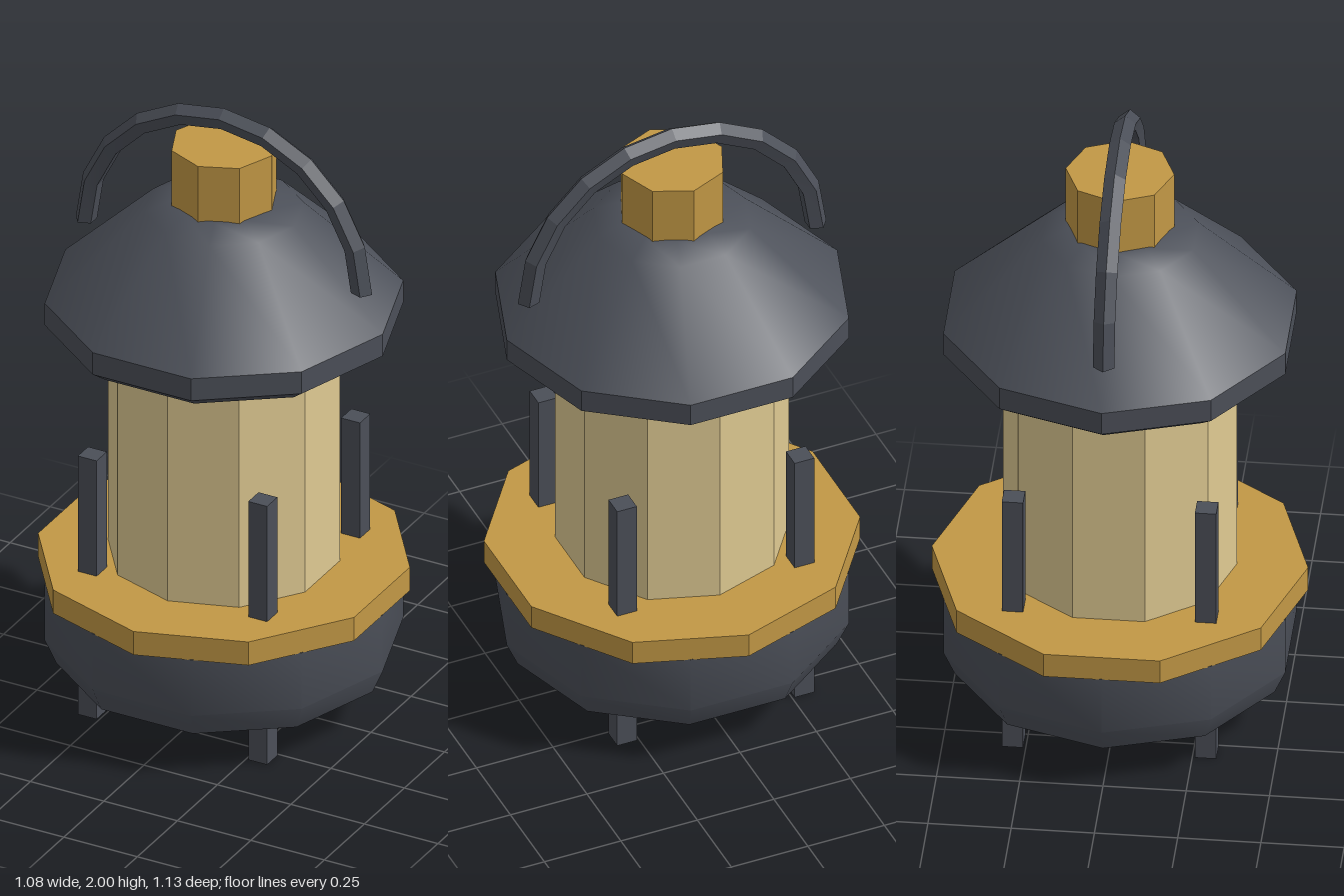
import * as THREE from 'three';
import { toCreasedNormals } from 'three/addons/utils/BufferGeometryUtils.js';

export function createModel() {
  const lantern = new THREE.Group();
  lantern.name = 'lantern';

  const paint = (name, color, flatShading = false) =>
    new THREE.MeshStandardMaterial({ name, color, flatShading });
  const iron = paint('dark iron', 0x4b4f58);
  const brass = paint('brass', 0xc29845);
  const glass = paint('warm glass', 0xdfca92);

  const add = (name, geometry, material, x = 0, y = 0, z = 0, parent = lantern) => {
    const mesh = new THREE.Mesh(geometry, material);
    mesh.name = name;
    mesh.position.set(x, y, z);
    parent.add(mesh);
    return mesh;
  };

  // Ten-sided turned body with a corner on the x axis
  const turned = (profile, crease) => toCreasedNormals(
    new THREE.LatheGeometry(profile.map(([r, y]) => new THREE.Vector2(r, y)), 10, Math.PI / 2),
    crease);

  // Faceted upright prism between two heights, with a corner on the z axis
  const prism = (name, radius, bottom, top, sides, material) => add(name,
    toCreasedNormals(new THREE.CylinderGeometry(radius, radius, top - bottom, sides), 0.4),
    material, 0, (bottom + top) / 2);

  // Body, from bottom to top
  add('base', turned([[0, 0.14], [0.505, 0.14], [0.54, 0.22], [0.54, 0.412], [0, 0.412]], 0.7), iron);
  prism('collar', 0.565, 0.41, 0.49, 10, brass);
  prism('glassChimney', 0.352, 0.48, 1.28, 10, glass);
  add('roof', turned([
    [0, 1.26], [0.485, 1.26], [0.54, 1.3], [0.54, 1.375],
    [0.24, 1.665], [0.16, 1.7], [0, 1.7],
  ], 0.6), iron);
  prism('chimneyCap', 0.163, 1.69, 1.885, 8, brass);

  // Four square posts that also serve as feet
  const postShape = new THREE.BoxGeometry(0.064, 0.885, 0.064);
  for (const x of [-0.29, 0.29]) {
    for (const z of [-0.29, 0.29]) add('post', postShape, iron, x, 0.4425, z);
  }

  // Arched carrying handle with closed ends
  const handle = new THREE.Group();
  handle.name = 'handle';
  handle.position.y = 1.5;
  lantern.add(handle);
  const R = 0.47, r = 0.034;
  add('handleArch', toCreasedNormals(new THREE.TorusGeometry(R, r, 5, 10, Math.PI), 0.25), iron, 0, 0, 0, handle);
  for (const side of [-1, 1]) {
    const end = new THREE.CircleGeometry(r, 5);
    if (side < 0) end.rotateZ(Math.PI);
    end.rotateX(Math.PI / 2);
    add('handleEnd', end, iron, side * R, 0, 0, handle);
  }

  return lantern;
}
